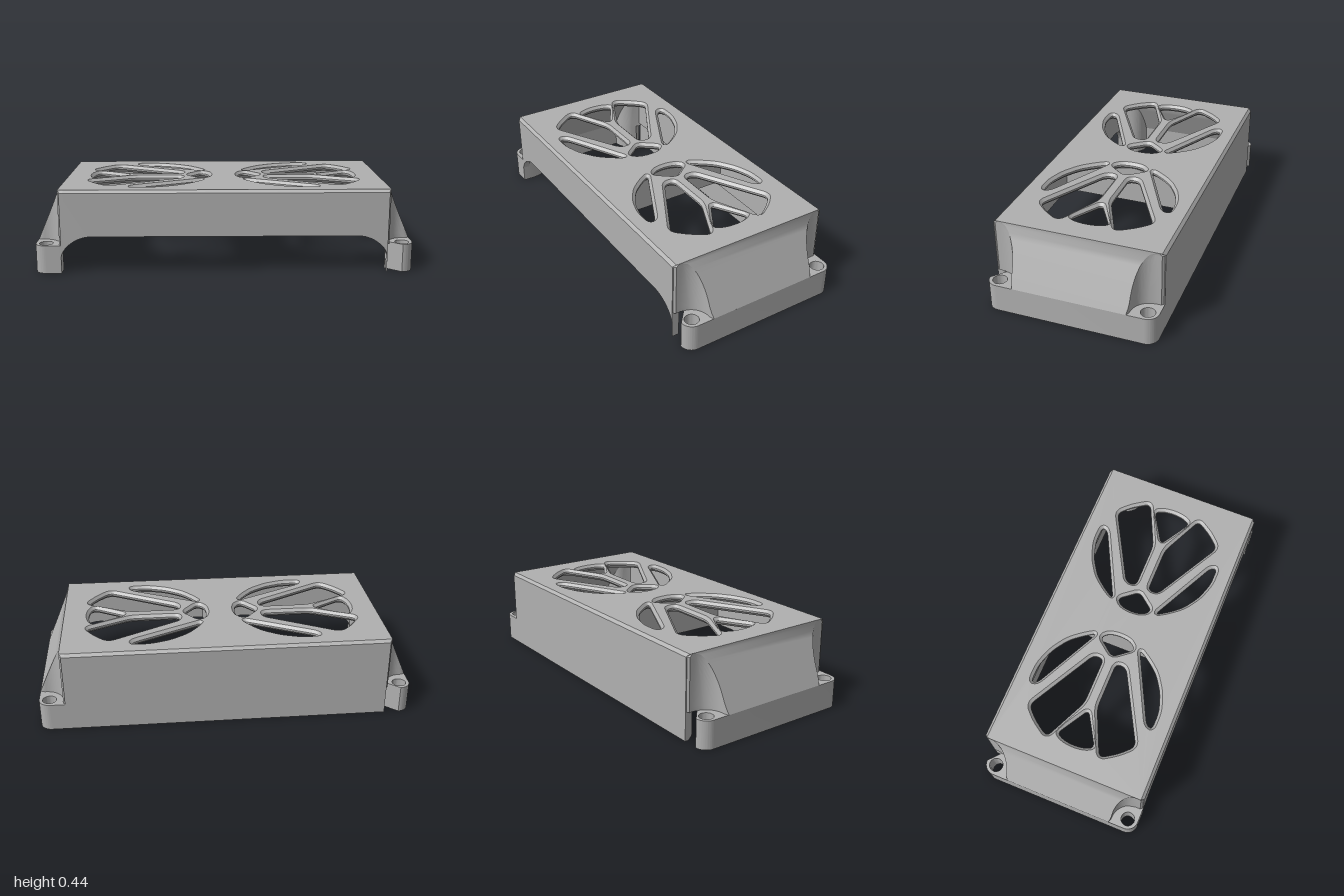
import * as THREE from 'three';
import { toCreasedNormals } from 'three/addons/utils/BufferGeometryUtils.js';

const TOP = 0.445, STEP = 0.15, ROWS = 10, COLS = 16;
const V = (x, y) => new THREE.Vector2(x, y);

// Closed outline with every corner rounded
function rounded(points, r) {
  const path = new THREE.Shape();
  points.forEach((p, i) => {
    const prev = points[(i + points.length - 1) % points.length];
    const next = points[(i + 1) % points.length];
    const cut = (q) => p.clone().lerp(q, Math.min(0.45, r / p.distanceTo(q)));
    const a = cut(prev), b = cut(next);
    if (i) path.lineTo(a.x, a.y); else path.moveTo(a.x, a.y);
    path.quadraticCurveTo(p.x, p.y, b.x, b.y);
  });
  path.closePath();
  return path;
}

// Half-width of the sloped end at height y, and the screw recess edge z(x)
const reach = (y) => 1 - (y - STEP) * 0.13 / (TOP - STEP);
const recess = (x) => x < 0.97
  ? 0.41 - Math.sqrt(Math.max(0, 0.01 - (0.97 - x) ** 2))
  : 0.31 - 0.01 * ((x - 0.97) / 0.03) ** 2;

// Plan sections of an end, running from +z to -z
function mirrorZ(half) {
  return [...half, ...half.slice().reverse().map((p) => V(p.x, -p.y))];
}
function outerSection(y) {
  const drop = Math.max(0, y - 0.43);
  const half = [V(0.84, 0.45 - drop), V(0.855, 0.45 - drop), V(0.87, 0.435 - drop)];
  for (let k = 0; k <= COLS; k++) {
    const x = THREE.MathUtils.lerp(0.87, reach(y), k / COLS);
    half.push(V(x, recess(x)));
  }
  return mirrorZ(half);
}
function innerSection(y) {
  const limit = Math.max(0.86, reach(y) - 0.04);
  const half = [V(0.85, 0.41)];
  for (let k = 0; k <= COLS; k++) {
    const x = THREE.MathUtils.lerp(0.86, limit, k / COLS);
    half.push(V(x, recess(x + 0.01) - 0.03));
  }
  return mirrorZ(half);
}

// Skin through sections stacked over a list of heights
function loft(section, heights, inward) {
  const pos = [], idx = [];
  let n = 0;
  heights.forEach((y) => {
    const s = section(y);
    n = s.length;
    s.forEach((p) => pos.push(p.x, y, p.y));
  });
  for (let i = 0; i < heights.length - 1; i++) {
    for (let j = 0; j < n - 1; j++) {
      const a = i * n + j, b = a + 1, c = a + n, d = c + 1;
      if (inward) idx.push(a, c, b, b, c, d);
      else idx.push(a, b, c, b, d, c);
    }
  }
  const g = new THREE.BufferGeometry();
  g.setAttribute('position', new THREE.Float32BufferAttribute(pos, 3));
  g.setIndex(idx);
  return g;
}

const steps = (a, b) => Array.from({ length: ROWS + 1 }, (_, i) => a + (b - a) * i / ROWS);

export function createModel() {
  const group = new THREE.Group();
  const grey = new THREE.MeshStandardMaterial({ color: 0xb0b0b0 });
  grey.name = 'grey plastic';
  const add = (name, geometry, parent = group) => {
    const mesh = new THREE.Mesh(toCreasedNormals(geometry, 0.6), grey);
    mesh.name = name;
    parent.add(mesh);
    return mesh;
  };

  // Top plate with two fans of vents
  const plate = new THREE.Shape([V(-0.87, -0.45), V(0.87, -0.45), V(0.87, 0.45), V(-0.87, 0.45)]);
  const outerVent = [V(0.705, 0.105), V(0.728, 0.06), V(0.735, 0), V(0.728, -0.06), V(0.705, -0.105), V(0.53, 0)];
  const innerVent = [V(0.205, 0), V(0.125, 0.1), V(0.088, 0.065), V(0.078, 0), V(0.088, -0.065), V(0.125, -0.1)];
  const wideVent = [V(0.62, 0.305), V(0.685, 0.24), V(0.745, 0.15), V(0.50, 0.037), V(0.235, 0.037), V(0.235, 0.095)];
  const longVent = [V(0.5, 0.35), V(0.40, 0.35), V(0.30, 0.318), V(0.21, 0.26), V(0.155, 0.195), V(0.11, 0.125), V(0.49, 0.315)];
  for (const sx of [1, -1]) {
    const flip = (pts, sz) => pts.map((p) => V(p.x * sx, p.y * sz));
    plate.holes.push(rounded(flip(outerVent, 1), 0.03), rounded(flip(innerVent, 1), 0.03));
    for (const sz of [1, -1]) {
      plate.holes.push(rounded(flip(wideVent, sz), 0.035), rounded(flip(longVent, sz), 0.035));
    }
  }
  const plateGeo = new THREE.ExtrudeGeometry(plate, {
    depth: 0.01, bevelThickness: 0.015, bevelSize: 0.015, bevelOffset: -0.015, bevelSegments: 1, curveSegments: 8,
  });
  plateGeo.rotateX(-Math.PI / 2).translate(0, 0.42, 0);
  // Bevel only the long edges: the short edges stay square against the end slopes
  const pp = plateGeo.attributes.position;
  for (let i = 0; i < pp.count; i++) {
    const x = pp.getX(i);
    if (Math.abs(x) > 0.8) pp.setX(i, Math.sign(x) * (Math.abs(pp.getZ(i)) > 0.44 ? 0.855 : 0.87));
  }
  add('ventedTop', plateGeo);

  // Front wall with the arched opening
  const front = new THREE.Shape();
  front.moveTo(0.86, 0);
  front.lineTo(0.86, 0.43);
  front.lineTo(-0.86, 0.43);
  front.lineTo(-0.86, 0.09);
  front.bezierCurveTo(-0.85, 0.14, -0.78, 0.198, -0.70, 0.198);
  front.lineTo(0.70, 0.198);
  front.bezierCurveTo(0.78, 0.198, 0.85, 0.14, 0.86, 0.09);
  front.closePath();
  const frontGeo = new THREE.ExtrudeGeometry(front, { depth: 0.04, bevelEnabled: false, curveSegments: 12 });
  add('frontWall', frontGeo.translate(0, 0, 0.41));

  // Back wall: profile with a chamfered foot and a small inner ledge
  const back = new THREE.Shape([
    V(0.45, 0), V(0.45, 0.43), V(0.40, 0.43), V(0.40, 0.17), V(0.41, 0.16), V(0.41, 0.02), V(0.43, 0),
  ]);
  const backGeo = new THREE.ExtrudeGeometry(back, { depth: 1.72, bevelEnabled: false });
  add('backWall', backGeo.translate(0, 0, -0.86).rotateY(Math.PI / 2));

  // Centre rib under the top
  add('centreRib', new THREE.BoxGeometry(0.14, 0.21, 0.83).translate(0, 0.305, 0));

  // Ends: screw-foot base, sloped outer skin and inner skin
  const foot = new THREE.Shape();
  foot.moveTo(0.86, -0.45);
  foot.absarc(0.94, -0.39, 0.06, -Math.PI / 2, 0, false);
  foot.absarc(0.94, 0.39, 0.06, 0, Math.PI / 2, false);
  foot.lineTo(0.86, 0.45);
  innerSection(STEP).slice(1, -1).forEach((p) => foot.lineTo(p.x, p.y));
  foot.closePath();
  for (const s of [1, -1]) {
    const hole = new THREE.Path();
    hole.absarc(0.945, 0.393 * s, 0.037, 0, Math.PI * 2, true);
    foot.holes.push(hole);
  }
  for (const side of ['left', 'right']) {
    const end = new THREE.Group();
    end.name = side + 'End';
    if (side === 'right') end.rotation.y = Math.PI;
    const footGeo = new THREE.ExtrudeGeometry(foot, { depth: STEP, bevelEnabled: false, curveSegments: 16 });
    add(side + 'ScrewFeet', footGeo.rotateX(-Math.PI / 2), end);
    add(side + 'SlopedEnd', loft(outerSection, [...steps(STEP, 0.43), TOP], false), end);
    add(side + 'EndLining', loft(innerSection, steps(STEP, 0.42), true), end);
    group.add(end);
  }
  return group;
}
